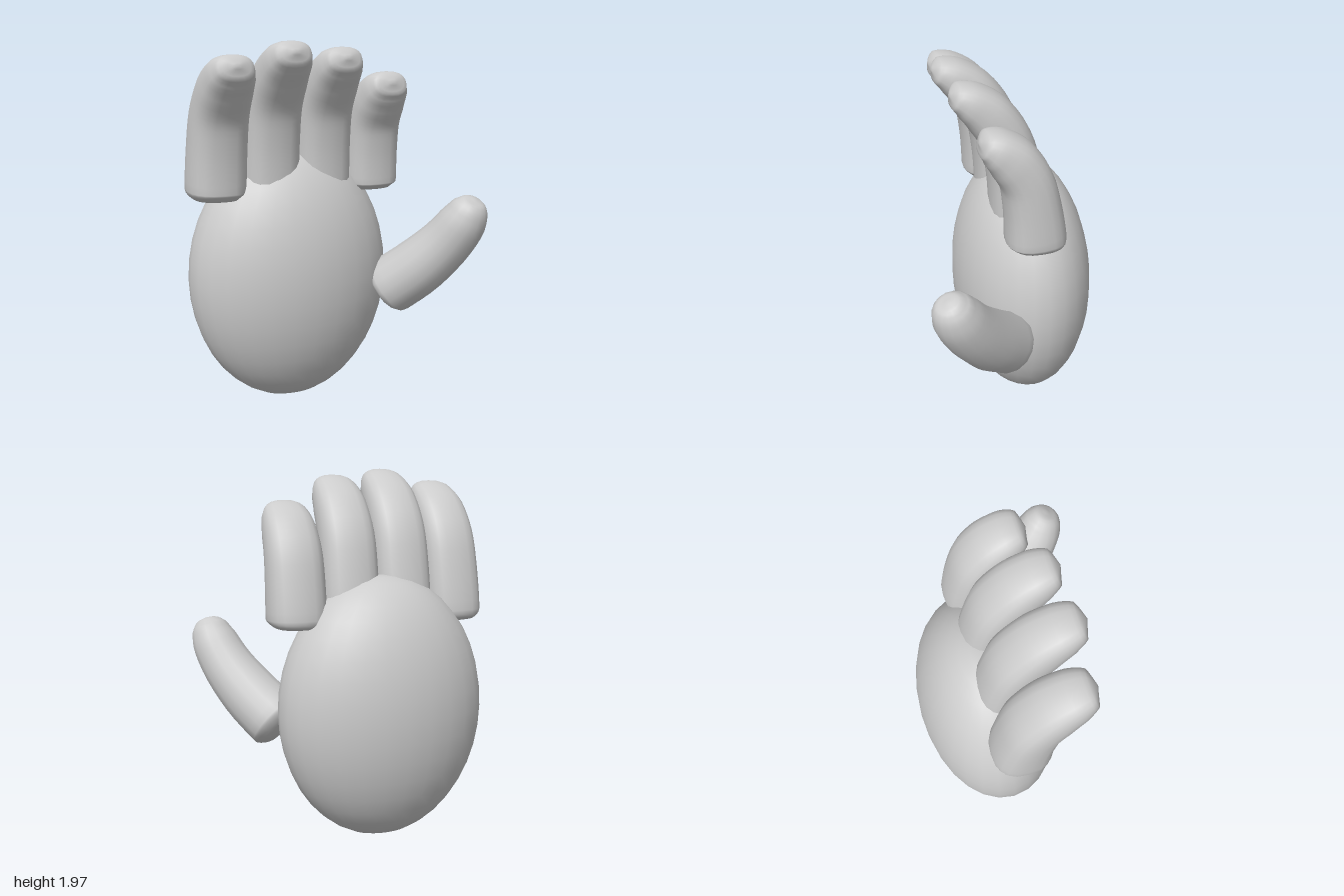
import * as THREE from 'three';
import { mergeVertices } from 'three/addons/utils/BufferGeometryUtils.js';

const skin = new THREE.MeshStandardMaterial({ color: 0xcccccc });
skin.name = 'light grey';

// Smooth closed limb swept through stations [x, y, z, halfWidth, halfDepth]
function limb(name, stations, side, power, steps = 28, sides = 20) {
  const path = new THREE.CatmullRomCurve3(stations.map(s => new THREE.Vector3(s[0], s[1], s[2])));
  const size = new THREE.CatmullRomCurve3(stations.map(s => new THREE.Vector3(s[3], s[4], 0)));
  const soften = v => Math.sign(v) * Math.pow(Math.abs(v), power);
  const positions = [], index = [];
  for (let i = 0; i <= steps; i++) {
    const u = i / steps;
    const c = path.getPoint(u), r = size.getPoint(u), t = path.getTangent(u);
    const across = side.clone().addScaledVector(t, -side.dot(t)).normalize();
    const up = t.clone().cross(across);
    const w = i % steps ? Math.max(r.x, 0) : 0, d = i % steps ? Math.max(r.y, 0) : 0;
    for (let j = 0; j < sides; j++) {
      const a = (j / sides) * Math.PI * 2;
      const p = c.clone()
        .addScaledVector(across, soften(Math.cos(a)) * w)
        .addScaledVector(up, soften(Math.sin(a)) * d);
      positions.push(p.x, p.y, p.z);
      if (i < steps) {
        const k = (j + 1) % sides, n = i * sides;
        if (i > 0) index.push(n + j, n + k, n + sides + j);
        if (i < steps - 1) index.push(n + k, n + sides + k, n + sides + j);
      }
    }
  }
  let geometry = new THREE.BufferGeometry();
  geometry.setAttribute('position', new THREE.Float32BufferAttribute(positions, 3));
  geometry.setIndex(index);
  geometry = mergeVertices(geometry, 1e-5);
  geometry.computeVertexNormals();
  const mesh = new THREE.Mesh(geometry, skin);
  mesh.name = name;
  return mesh;
}

// Finger profile: y, z, halfWidth, halfDepth, stretched to each finger's reach
const fingerProfile = [
  [1.165, -0.085, 0, 0],
  [1.175, -0.085, 0.115, 0.12],
  [1.215, -0.085, 0.153, 0.153],
  [1.40, -0.065, 0.152, 0.14],
  [1.55, -0.03, 0.148, 0.13],
  [1.66, 0.04, 0.14, 0.122],
  [1.73, 0.12, 0.122, 0.095],
  [1.757, 0.175, 0.09, 0.06],
  [1.763, 0.197, 0, 0],
];

function finger(name, baseX, tipX, top, tipZ) {
  const sy = (top - 1.165) / 0.655, sz = (tipZ + 0.085) / 0.282;
  const stations = fingerProfile.map(([y, z, w, d]) => [
    THREE.MathUtils.lerp(baseX, tipX, (y - 1.165) / 0.6),
    1.165 + (y - 1.165) * sy,
    -0.085 + (z + 0.085) * sz,
    w, d,
  ]);
  return limb(name, stations, new THREE.Vector3(1, 0, 0), 0.8, 32);
}

export function createModel() {
  const hand = new THREE.Group();
  hand.name = 'hand';

  // Egg-shaped palm
  const palm = new THREE.Mesh(new THREE.SphereGeometry(1, 28, 20), skin);
  palm.name = 'palm';
  palm.scale.set(0.57, 0.715, 0.375);
  palm.position.set(-0.16, 0.72, -0.145);
  hand.add(palm);

  // Four fingers curling forward
  hand.add(
    finger('indexFinger', 0.295, 0.288, 1.82, 0.20),
    finger('middleFinger', 0.0, -0.01, 1.965, 0.27),
    finger('ringFinger', -0.3, -0.3, 2.0, 0.295),
    finger('littleFinger', -0.598, -0.585, 1.93, 0.255),
  );

  // Thumb reaching out, up and forward
  hand.add(limb('thumb', [
    [0.325, 0.595, 0.05, 0, 0],
    [0.335, 0.605, 0.06, 0.12, 0.12],
    [0.36, 0.635, 0.09, 0.165, 0.165],
    [0.46, 0.75, 0.20, 0.16, 0.16],
    [0.56, 0.90, 0.315, 0.143, 0.143],
    [0.615, 1.03, 0.395, 0.128, 0.128],
    [0.638, 1.11, 0.43, 0.1, 0.1],
    [0.648, 1.15, 0.445, 0.06, 0.06],
    [0.65, 1.16, 0.45, 0, 0],
  ], new THREE.Vector3(1, 0, -1).normalize(), 1, 28, 16));

  return hand;
}
